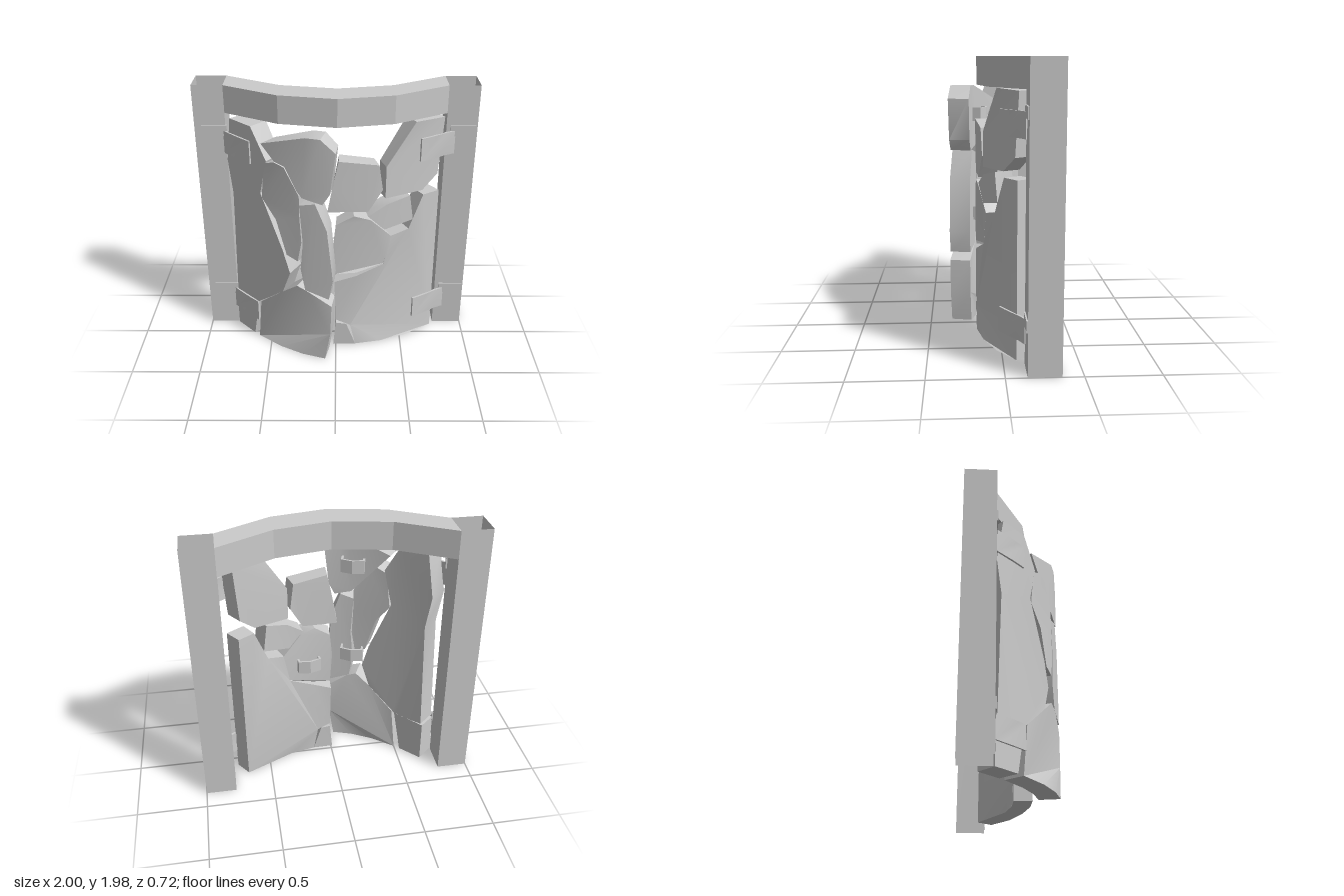
import * as THREE from 'three';
import { toCreasedNormals } from 'three/addons/utils/BufferGeometryUtils.js';

const material = new THREE.MeshStandardMaterial({ color: 0xcccccc, side: THREE.DoubleSide });

// Plan curve of each door's front face: z = a + b|x| + c|x|^2 (the right leaf stands ajar)
const leftLeaf = { a: 0.16, b: 0.05, c: -0.51, side: 1 };
const rightLeaf = { a: 0.355, b: -0.115, c: -0.65, side: -1 };

function add(group, name, geometry) {
  const mesh = new THREE.Mesh(geometry, material);
  mesh.name = name;
  group.add(mesh);
  return mesh;
}

// Extrudes an outline and bends it onto a leaf; lift moves the front out along the normal
function slab(outline, leaf, thickness, lift = 0) {
  const shape = new THREE.Shape(outline.map(([x, y]) => new THREE.Vector2(x, y)));
  const geo = new THREE.ExtrudeGeometry(shape, { depth: 1, bevelEnabled: false });
  const pos = geo.attributes.position;
  for (let i = 0; i < pos.count; i++) {
    const x = pos.getX(i);
    const u = x * leaf.side;
    const slope = (leaf.b + 2 * leaf.c * u) * leaf.side;
    const len = Math.hypot(slope, 1);
    const d = lift - (1 - pos.getZ(i)) * thickness;
    const z = Math.max(leaf.a + leaf.b * u + leaf.c * u * u, -0.14);
    pos.setX(i, x - (slope / len) * d);
    pos.setZ(i, z + d / len);
  }
  return toCreasedNormals(geo, 0.45);
}

// Rectangle outline with intermediate points so that it can bend
function strip(x0, x1, y0, y1, n = 4) {
  const low = [], high = [];
  for (let i = 0; i <= n; i++) {
    const x = x0 + ((x1 - x0) * i) / n;
    low.push([x, y0]);
    high.unshift([x, y1]);
  }
  return [...low, ...high];
}

const rightStones = {
  tallEdgeStone: [[-0.74, 1.78], [-0.58, 1.78], [-0.475, 1.56], [-0.53, 1.3], [-0.38, 0.9],
    [-0.33, 0.72], [-0.39, 0.54], [-0.58, 0.36], [-0.6, 0.34], [-0.77, 0.35], [-0.75, 1.2], [-0.78, 1.45]],
  lowEdgeStone: [[-0.78, 0.34], [-0.59, 0.35], [-0.64, 0.02], [-0.78, 0.02]],
  innerStone: [[-0.49, 1.54], [-0.42, 1.57], [-0.35, 1.55], [-0.25, 1.36], [-0.25, 1.2],
    [-0.24, 1.0], [-0.27, 0.84], [-0.35, 0.87], [-0.42, 1.13], [-0.52, 1.27]],
  tallMiddleStone: [[-0.25, 1.29], [-0.14, 1.32], [-0.06, 1.12], [-0.02, 0.72], [-0.05, 0.56],
    [-0.22, 0.61], [-0.25, 0.78], [-0.23, 1.0]],
  topStone: [[-0.51, 1.68], [-0.2, 1.79], [-0.1, 1.79], [0, 1.7], [-0.04, 1.4], [-0.09, 1.32], [-0.23, 1.35]],
  bottomStone: [[-0.28, 0.63], [-0.2, 0.6], [-0.03, 0.5], [-0.04, 0.25], [-0.08, 0.02],
    [-0.25, 0.02], [-0.42, 0.02], [-0.6, 0.02], [-0.57, 0.36], [-0.39, 0.54]],
};

const leftStones = {
  roundStone: [[-0.02, 0.9], [0, 1.07], [0.13, 1.14], [0.25, 1.1], [0.4, 0.95], [0.36, 0.73], [0.15, 0.67], [0, 0.66]],
  upperStone: [[0.02, 1.56], [0.3, 1.52], [0.33, 1.33], [0.23, 1.17], [-0.06, 1.17], [-0.02, 1.38]],
  cornerStone: [[0.55, 1.8], [0.76, 1.79], [0.73, 1.37], [0.62, 1.27], [0.35, 1.26], [0.35, 1.5]],
  wedgeStone: [[0.23, 1.13], [0.36, 1.21], [0.53, 1.25], [0.56, 1.05], [0.35, 1.01]],
  largeStone: [[-0.01, 0.59], [0.15, 0.64], [0.35, 0.72], [0.4, 0.95], [0.53, 0.98], [0.63, 1.23], [0.75, 1.23],
    [0.75, 0.03], [0.55, 0.02], [0.35, 0.02], [0.15, 0.02], [0.11, 0.2], [0, 0.25]],
  smallStone: [[0, 0.22], [0.08, 0.21], [0.15, 0.02], [-0.02, 0.02]],
};

export function createModel() {
  const model = new THREE.Group();
  model.name = 'stoneGate';

  // Hollow square posts
  for (const s of [-1, 1]) {
    const geo = new THREE.CylinderGeometry(0.11 * Math.SQRT2, 0.11 * Math.SQRT2, 1.98, 4, 1, true);
    geo.rotateY(Math.PI / 4);
    geo.translate(0.89 * s, 1.01, -0.25);
    add(model, s > 0 ? 'leftPost' : 'rightPost', toCreasedNormals(geo, 0.4));
  }

  // Lintel bowed in plan
  const bow = [[-0.78, -0.36], [-0.39, -0.145], [0.01, -0.07], [0.4, -0.145], [0.78, -0.36]];
  const plan = [...bow, ...bow.slice().reverse().map(([x, z]) => [x, z + 0.22])];
  const lintel = new THREE.ExtrudeGeometry(
    new THREE.Shape(plan.map(([x, z]) => new THREE.Vector2(x, -z))), { depth: 0.2, bevelEnabled: false });
  lintel.rotateX(-Math.PI / 2);
  lintel.translate(0, 1.8, 0);
  add(model, 'lintel', toCreasedNormals(lintel, 0.2));

  // Door leaves of fitted stones
  for (const [name, stones, leaf, thickness] of [
    ['rightDoor', rightStones, rightLeaf, 0.15], ['leftDoor', leftStones, leftLeaf, 0.13]]) {
    const door = new THREE.Group();
    door.name = name;
    for (const key in stones) add(door, key, slab(stones[key], leaf, thickness));
    model.add(door);
  }

  // Hinges: a strap on the door and a plate on the post
  for (const y of [0.18, 1.5]) {
    add(model, 'leftHingeStrap', slab(strip(0.59, 0.84, y, y + 0.17), leftLeaf, 0.015, 0.01));
    add(model, 'rightHingeStrap', slab(strip(-0.79, -0.59, y, y + 0.17), rightLeaf, 0.015, 0.01));
    for (const x of [-0.86, 0.9]) {
      add(model, 'hingePlate', new THREE.BoxGeometry(0.18, 0.08, 0.015)).position.set(x, y + 0.17, -0.137);
    }
  }

  // Staple handles on the backs of the doors
  const staple = new THREE.Shape();
  staple.moveTo(-0.085, 0.03).lineTo(-0.085, -0.04).lineTo(0, -0.06).lineTo(0.085, -0.04).lineTo(0.085, 0.03);
  staple.lineTo(0.07, 0.03).lineTo(0.07, -0.03).lineTo(0, -0.045).lineTo(-0.07, -0.03).lineTo(-0.07, 0.03);
  for (const [x, y, z, turn] of [[0.17, 0.85, 0.01, 0.13], [-0.18, 0.84, 0.13, -0.33], [-0.18, 1.58, 0.13, -0.33]]) {
    const geo = new THREE.ExtrudeGeometry(staple, { depth: 0.1, bevelEnabled: false });
    geo.translate(0, 0, -0.05);
    geo.rotateX(Math.PI / 2);
    const handle = add(model, 'handle', geo);
    handle.position.set(x, y, z);
    handle.rotation.y = turn;
  }
  return model;
}
